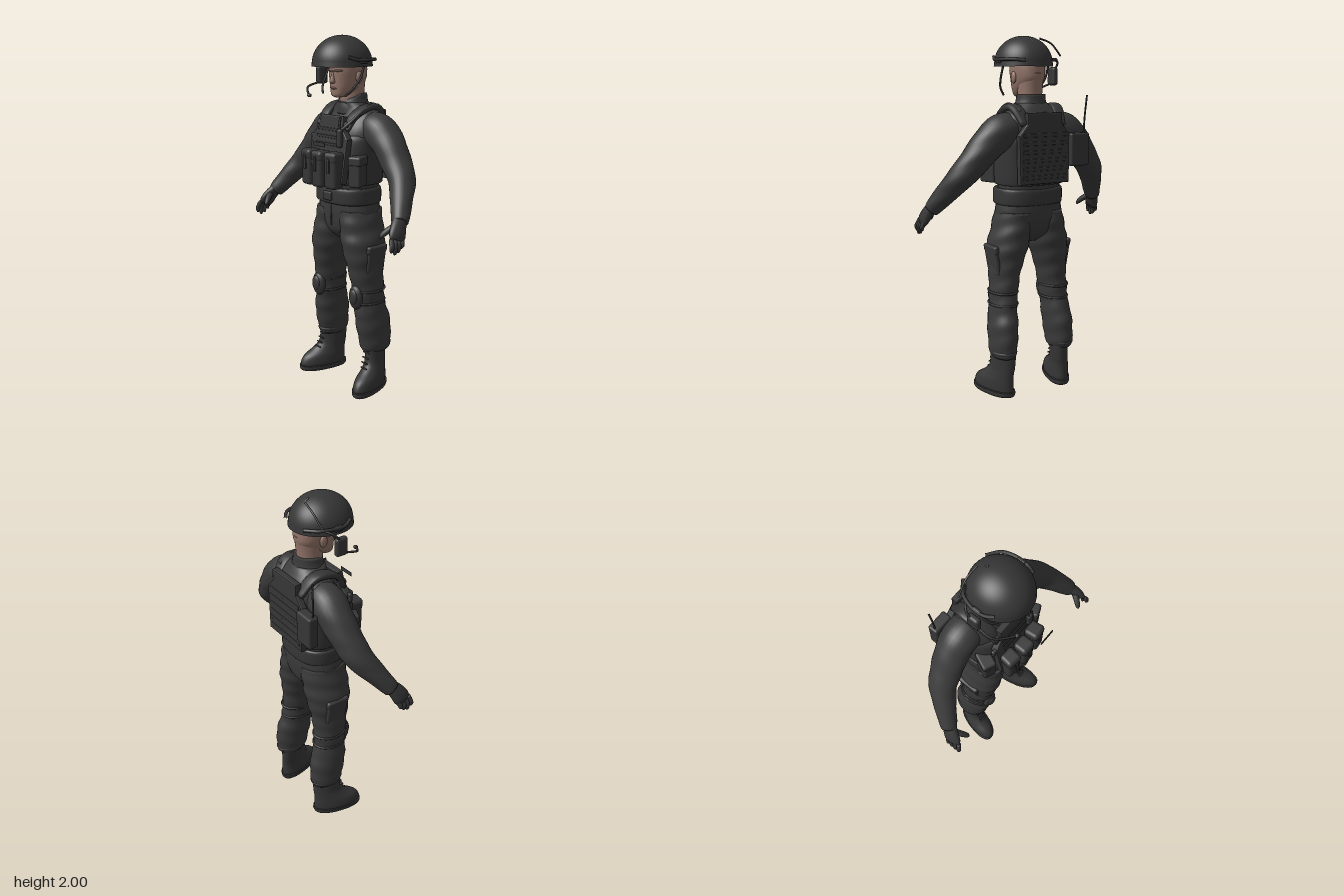
import * as THREE from 'three';
import { RoundedBoxGeometry } from 'three/addons/geometries/RoundedBoxGeometry.js';

const V = (x, y, z) => new THREE.Vector3(x, y, z);

// Smooth skin over sections [x, y, z, halfWidth, halfDepth]; level = horizontal rings
function loft(sections, { ref = V(0, 0, 1), level = false, n = 2, seg = 28, sub = 5, rule } = {}) {
  const path = new THREE.CatmullRomCurve3(sections.map(s => V(s[0], s[1], s[2])), false, 'catmullrom', 0.5);
  const size = new THREE.CatmullRomCurve3(sections.map(s => V(s[3], s[4], 0)), false, 'catmullrom', 0.5);
  const rings = (sections.length - 1) * sub, pos = [], idx = [];
  const pw = c => Math.sign(c) * Math.abs(c) ** (2 / n);
  for (let i = 0; i <= rings; i++) {
    const c = path.getPoint(i / rings), r = size.getPoint(i / rings);
    const T = level ? V(0, 1, 0) : path.getTangent(i / rings);
    const v = ref.clone().addScaledVector(T, -ref.dot(T)).normalize();
    const u = T.clone().cross(v);
    for (let j = 0; j < seg; j++) {
      const t = j / seg * Math.PI * 2;
      const p = c.clone().addScaledVector(u, pw(Math.cos(t)) * r.x).addScaledVector(v, pw(Math.sin(t)) * r.y);
      if (rule) rule(p, c, t);
      pos.push(p.x, p.y, p.z);
    }
  }
  for (let i = 0; i < rings; i++) for (let j = 0; j < seg; j++) {
    const k = (j + 1) % seg, a = i * seg + j, b = i * seg + k, d = a + seg, e = b + seg;
    idx.push(a, d, b, b, d, e);
  }
  // end caps
  const first = sections[0], last = sections[sections.length - 1], m = pos.length / 3, top = rings * seg;
  pos.push(first[0], first[1], first[2], last[0], last[1], last[2]);
  for (let j = 0; j < seg; j++) {
    const k = (j + 1) % seg;
    idx.push(m, j, k, m + 1, top + k, top + j);
  }
  const g = new THREE.BufferGeometry();
  g.setAttribute('position', new THREE.Float32BufferAttribute(pos, 3));
  g.setIndex(idx);
  g.computeVertexNormals();
  return g;
}

export function createModel() {
  const root = new THREE.Group();
  const mat = (name, color) => { const m = new THREE.MeshStandardMaterial({ color }); m.name = name; return m; };
  const cloth = mat('charcoal cloth', 0x3a3a3a);
  const gear = mat('dark gear', 0x363636);
  const skin = mat('skin', 0x94766a);

  const add = (name, geo, m, x = 0, y = 0, z = 0) => {
    const mesh = new THREE.Mesh(geo, m);
    mesh.name = name;
    mesh.position.set(x, y, z);
    root.add(mesh);
    return mesh;
  };
  const box = (name, w, h, d, x, y, z, m = gear, r = 0.012) =>
    add(name, new RoundedBoxGeometry(w, h, d, 2, Math.min(r, w / 2.1, h / 2.1, d / 2.1)), m, x, y, z);
  const ball = (name, rx, ry, rz, x, y, z, m = gear) => {
    const mesh = add(name, new THREE.SphereGeometry(1, 20, 14), m, x, y, z);
    mesh.scale.set(rx, ry, rz);
    return mesh;
  };
  const cord = (name, pts, r = 0.005, m = gear) =>
    add(name, new THREE.TubeGeometry(new THREE.CatmullRomCurve3(pts.map(p => V(...p))), 24, r, 8), m);
  // cloth folds
  const folds = (amount, freq) => (p, c, t) => {
    const k = 1 + amount * Math.sin(p.y * freq + Math.sin(t) * 2.2 + p.x * 9);
    p.x = c.x + (p.x - c.x) * k;
    p.z = c.z + (p.z - c.z) * k;
  };

  // Head and neck
  add('neck', loft([[0, 1.6, -0.065, 0.07, 0.07], [0, 1.68, -0.06, 0.066, 0.07], [0, 1.8, -0.065, 0.07, 0.08]], { level: true }), skin);
  add('head', loft([[0, 1.668, 0.04, 0.02, 0.018], [0, 1.68, 0.025, 0.045, 0.047], [0, 1.715, -0.008, 0.066, 0.084],
    [0, 1.76, -0.03, 0.08, 0.108], [0, 1.81, -0.032, 0.088, 0.112], [0, 1.87, -0.03, 0.086, 0.108]], { level: true, n: 2.2 }), skin);
  add('nose', loft([[0, 1.743, 0.075, 0.013, 0.01], [0, 1.755, 0.078, 0.016, 0.018], [0, 1.785, 0.076, 0.009, 0.012], [0, 1.81, 0.07, 0.008, 0.01]],
    { level: true, seg: 12 }), skin);
  ball('lips', 0.025, 0.007, 0.012, 0, 1.718, 0.07, skin);
  ball('brow', 0.06, 0.01, 0.025, 0, 1.812, 0.06, skin);

  // Helmet: dome, closed underside, rim
  const dome = add('helmetDome', new THREE.SphereGeometry(1, 40, 16, 0, Math.PI * 2, 0, Math.PI / 2), gear, 0, 1.85, 0.01);
  dome.scale.set(0.157, 0.147, 0.168);
  const under = add('helmetLining', new THREE.CircleGeometry(1, 40), gear, 0, 1.853, 0.01);
  under.rotation.x = Math.PI / 2;
  under.scale.set(0.155, 0.166, 1);
  const rim = add('helmetRim', new THREE.CylinderGeometry(1, 1.02, 0.026, 40, 1, true), gear, 0, 1.846, 0.01);
  rim.scale.set(0.157, 1, 0.168);
  rim.material = gear.clone();
  rim.material.name = 'dark gear thin';
  rim.material.side = THREE.DoubleSide;
  box('helmetBackSeam', 0.012, 0.012, 0.06, 0, 1.965, -0.085).rotation.x = -0.7;
  for (const s of [1, -1]) {
    cord('helmetRail', [[0.14 * s, 1.885, 0.09], [0.162 * s, 1.87, 0.04], [0.164 * s, 1.87, -0.03], [0.14 * s, 1.87, -0.1], [0.08 * s, 1.865, -0.15]], 0.009);
    box('railClip', 0.016, 0.03, 0.045, 0.161 * s, 1.865, 0.0, gear, 0.006);
    cord('chinStrap', [[0.142 * s, 1.84, -0.02], [0.142 * s, 1.77, 0.01], [0.125 * s, 1.72, 0.045], [0.092 * s, 1.68, 0.07]], 0.006);
    ball('ear', 0.012, 0.032, 0.022, 0.088 * s, 1.775, -0.035, skin);
  }
  // Headset with microphone boom
  box('earCup', 0.035, 0.1, 0.07, -0.185, 1.78, 0.0, gear, 0.015);
  cord('headsetArm', [[-0.15, 1.87, -0.08], [-0.19, 1.85, -0.04], [-0.19, 1.8, 0]], 0.006);
  cord('microphoneBoom', [[-0.185, 1.74, 0.02], [-0.18, 1.72, 0.1], [-0.14, 1.7, 0.14], [-0.08, 1.68, 0.175]], 0.006);
  ball('microphone', 0.013, 0.01, 0.012, -0.08, 1.68, 0.175);
  cord('headsetAntenna', [[-0.17, 1.89, -0.1], [-0.1, 1.955, -0.11], [-0.03, 1.98, -0.105]], 0.005);

  // Shirt, collar, hips
  add('torso', loft([[0, 1.06, -0.043, 0.18, 0.13], [0, 1.2, -0.048, 0.178, 0.135], [0, 1.35, -0.057, 0.185, 0.14],
    [0, 1.48, -0.07, 0.205, 0.135], [0, 1.56, -0.085, 0.19, 0.108], [0, 1.605, -0.08, 0.135, 0.09], [0, 1.64, -0.068, 0.085, 0.08]], { level: true, n: 2.3 }), cloth);
  add('collar', loft([[0, 1.61, -0.068, 0.1, 0.088], [0, 1.65, -0.066, 0.085, 0.083], [0, 1.685, -0.07, 0.08, 0.075]],
    { level: true, rule: p => { p.y -= Math.max(0, p.z + 0.06) * 0.45; } }), cloth);
  add('hips', loft([[0, 0.875, -0.035, 0.05, 0.06], [0, 0.93, -0.04, 0.14, 0.118], [0, 1.02, -0.043, 0.192, 0.136], [0, 1.12, -0.043, 0.182, 0.138]],
    { level: true, n: 2.3 }), cloth);
  box('trouserFly', 0.012, 0.12, 0.006, 0, 1.02, 0.094, cloth, 0.002);
  add('belt', loft([[0, 1.088, -0.036, 0.185, 0.142], [0, 1.1, -0.036, 0.193, 0.152], [0, 1.165, -0.036, 0.193, 0.152], [0, 1.18, -0.036, 0.185, 0.142]],
    { level: true, n: 2.5 }), gear);
  box('beltBuckle', 0.07, 0.05, 0.02, 0, 1.133, 0.118);

  for (const s of [1, -1]) {
    // Sleeve and glove
    add('sleeve', loft([[0.1 * s, 1.5, -0.085, 0.085, 0.085], [0.19 * s, 1.49, -0.085, 0.098, 0.098], [0.265 * s, 1.435, -0.083, 0.09, 0.093],
      [0.345 * s, 1.34, -0.068, 0.08, 0.085], [0.41 * s, 1.262, -0.045, 0.071, 0.076], [0.465 * s, 1.18, 0.01, 0.06, 0.061],
      [0.515 * s, 1.1, 0.068, 0.049, 0.049], [0.53 * s, 1.075, 0.085, 0.042, 0.044]],
      { rule: folds(0.02, 55) }), cloth);
    add('palm', loft([[0.515 * s, 1.1, 0.07, 0.034, 0.036], [0.54 * s, 1.06, 0.105, 0.03, 0.044], [0.557 * s, 1.02, 0.13, 0.026, 0.05], [0.565 * s, 0.995, 0.14, 0.016, 0.044]]), gear);
    [0.955, 0.937, 0.93, 0.945].forEach((y, k) => {
      const z = 0.105 + 0.024 * k;
      add('finger', loft([[0.562 * s, 1.01, z, 0.013, 0.013], [0.577 * s, 0.975, z + 0.01, 0.013, 0.013], [0.576 * s, y + 0.012, z + 0.012, 0.011, 0.011], [0.573 * s, y, z + 0.012, 0.005, 0.005]],
        { seg: 10 }), gear);
    });
    add('thumb', loft([[0.54 * s, 1.07, 0.11, 0.02, 0.02], [0.512 * s, 1.04, 0.155, 0.017, 0.017], [0.495 * s, 1.015, 0.18, 0.013, 0.013], [0.49 * s, 1.0, 0.187, 0.005, 0.005]],
      { seg: 12, ref: V(1, 0, 0) }), gear);

    // Trouser leg
    add('trouserLeg', loft([[0.187 * s, 0.23, -0.08, 0.058, 0.085], [0.187 * s, 0.262, -0.08, 0.072, 0.1], [0.18 * s, 0.4, -0.066, 0.078, 0.114],
      [0.17 * s, 0.5, -0.05, 0.074, 0.102], [0.162 * s, 0.6, -0.042, 0.077, 0.1], [0.149 * s, 0.72, -0.035, 0.085, 0.114],
      [0.13 * s, 0.85, -0.035, 0.11, 0.134], [0.11 * s, 0.95, -0.04, 0.106, 0.136], [0.095 * s, 1.05, -0.043, 0.096, 0.134]],
      { level: true, sub: 8, rule: folds(0.022, 62) }), cloth);
    ball('kneePad', 0.048, 0.072, 0.032, 0.162 * s, 0.565, 0.05);
    ball('kneePadCap', 0.032, 0.045, 0.015, 0.163 * s, 0.57, 0.073);
    for (const y of [0.6, 0.53]) {
      const strap = add('kneeStrap', new THREE.TorusGeometry(1, 0.07, 6, 28), gear, 0.166 * s, y, -0.045);
      strap.rotation.x = Math.PI / 2;
      strap.scale.set(0.077, 0.1, 0.1);
    }
    box('thighPocket', 0.03, 0.14, 0.13, 0.222 * s, 0.775, -0.04, cloth).rotation.z = -0.17 * s;
    box('pocketFlap', 0.03, 0.045, 0.14, 0.234 * s, 0.845, -0.04, cloth).rotation.z = -0.17 * s;
    const hem = add('trouserHem', new THREE.TorusGeometry(1, 0.1, 8, 28), cloth, 0.187 * s, 0.262, -0.08);
    hem.rotation.x = Math.PI / 2;
    hem.scale.set(0.066, 0.094, 0.1);

    // Boot, toes turned out
    const splay = p => { p.x += s * (p.z + 0.06) * 0.22; };
    add('boot', loft([[0.2 * s, 0.02, -0.015, 0.062, 0.14], [0.2 * s, 0.045, -0.014, 0.067, 0.142], [0.2 * s, 0.085, -0.025, 0.064, 0.13],
      [0.198 * s, 0.125, -0.055, 0.056, 0.1], [0.193 * s, 0.17, -0.076, 0.053, 0.082], [0.188 * s, 0.27, -0.08, 0.056, 0.08]],
      { level: true, rule: splay }), gear);
    add('bootSole', loft([[0.2 * s, 0, -0.015, 0.064, 0.142], [0.2 * s, 0.012, -0.015, 0.069, 0.146], [0.2 * s, 0.03, -0.015, 0.069, 0.146]],
      { level: true, n: 2.3, rule: splay }), gear);
    for (let k = 0; k < 4; k++) box('bootLace', 0.05, 0.008, 0.01, (0.205 - k * 0.003) * s, 0.14 + k * 0.028, 0.028 - k * 0.01, gear, 0.004);

    // Shoulder strap and side pouches
    add('shoulderStrap', loft([[0.1 * s, 1.5, 0.075, 0.014, 0.03], [0.115 * s, 1.57, 0.03, 0.016, 0.034], [0.13 * s, 1.615, -0.05, 0.018, 0.036],
      [0.125 * s, 1.61, -0.13, 0.018, 0.036], [0.105 * s, 1.53, -0.2, 0.014, 0.032]], { ref: V(1, 0, 0), n: 3, seg: 16 }), gear);
    const side = box('sidePouch', 0.07, 0.16, 0.1, 0.182 * s, 1.283, 0.06);
    side.rotation.y = 0.4 * s;
    box('sidePouchFlap', 0.076, 0.05, 0.106, 0.184 * s, 1.345, 0.06).rotation.y = 0.4 * s;
    box('strapBuckle', 0.045, 0.03, 0.02, 0.105 * s, 1.53, 0.075, gear, 0.006).rotation.x = -0.5;
  }

  // Armour vest with front and back plates
  add('vest', loft([[0, 1.2, -0.045, 0.182, 0.142], [0, 1.215, -0.045, 0.192, 0.152], [0, 1.35, -0.05, 0.197, 0.152], [0, 1.44, -0.058, 0.195, 0.15], [0, 1.47, -0.062, 0.18, 0.14]],
    { level: true, n: 2.6 }), gear);
  const plate = (name, pts, z, tilt) => {
    const shape = new THREE.Shape(pts.concat(pts.map(([x, y]) => [-x, y]).reverse()).map(p => new THREE.Vector2(...p)));
    const g = new THREE.ExtrudeGeometry(shape, { depth: 0.024, bevelSize: 0.008, bevelThickness: 0.008, bevelSegments: 2 });
    add(name, g, gear, 0, 1.4, z).rotation.x = tilt;
  };
  plate('frontPlate', [[0.14, -0.18], [0.14, 0.05], [0.095, 0.1], [0.085, 0.165]], 0.082, -0.16);
  plate('backPlate', [[0.145, -0.18], [0.15, 0.07], [0.1, 0.13], [0.1, 0.185]], -0.215, 0);
  for (let k = 0; k < 6; k++) box('backWebbing', 0.27, 0.02, 0.006, 0, 1.25 + k * 0.045, -0.223, gear, 0.003);
  for (let k = 0; k < 3; k++) box('chestWebbing', 0.2, 0.016, 0.006, 0, 1.42 + k * 0.04, 0.115 - k * 0.007, gear, 0.003);

  // Magazine pouches
  for (const k of [-1, 0, 1]) {
    const x = k * 0.098, z = 0.165 - Math.abs(k) * 0.01;
    box('magazinePouch', 0.084, 0.18, 0.08, x, 1.28, z, gear, 0.02).rotation.y = k * 0.12;
    box('magazineFlap', 0.088, 0.06, 0.086, x, 1.36, z, gear, 0.02).rotation.y = k * 0.12;
    box('flapTab', 0.022, 0.08, 0.008, x, 1.32, z + 0.044, gear, 0.003);
  }

  // Chest radio, cable and small patch
  box('chestRadio', 0.035, 0.1, 0.03, 0.1, 1.46, 0.115);
  cord('chestRadioAntenna', [[0.095, 1.5, 0.115], [0.09, 1.53, 0.11], [0.088, 1.57, 0.1]], 0.006);
  cord('radioCable', [[0.1, 1.5, 0.11], [0.135, 1.54, 0.08], [0.15, 1.6, 0], [0.14, 1.635, -0.07], [0.12, 1.6, -0.17]], 0.009);
  box('chestClip', 0.03, 0.05, 0.02, -0.15, 1.44, 0.09, gear, 0.006);
  box('nameStrip', 0.095, 0.022, 0.005, 0.083, 1.44, 0.244, gear, 0.002);

  // Back radio with antenna
  box('backRadio', 0.12, 0.18, 0.06, -0.208, 1.39, -0.22);
  cord('backAntenna', [[-0.25, 1.46, -0.215], [-0.254, 1.56, -0.218], [-0.262, 1.68, -0.226]], 0.005);
  return root;
}
